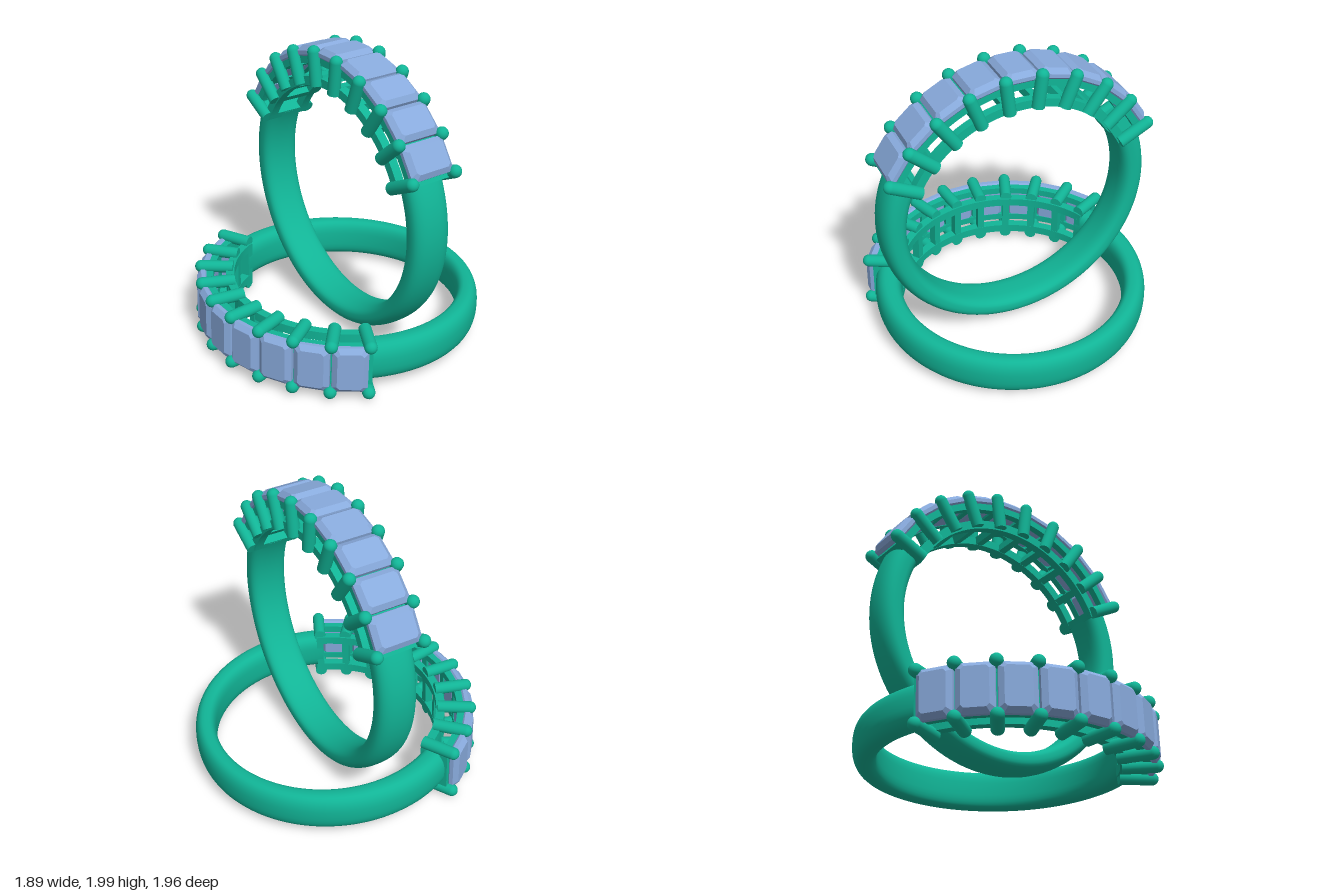
import * as THREE from 'three';

const INNER = 0.772;                        // finger hole radius
const PITCH = THREE.MathUtils.degToRad(14); // angle between neighbouring stones
const STONES = 9;
const END = PITCH * STONES / 2;             // angle from the top to the last prong
const metal = new THREE.MeshStandardMaterial({ color: 0x11b496 });
const metalThin = new THREE.MeshStandardMaterial({ color: 0x11b496, side: THREE.DoubleSide });
const gem = new THREE.MeshStandardMaterial({ color: 0x88aadc, flatShading: true });

function add(parent, name, geometry, material, x = 0, y = 0, z = 0) {
  const mesh = new THREE.Mesh(geometry, material);
  mesh.name = name;
  mesh.position.set(x, y, z);
  parent.add(mesh);
  return mesh;
}

// group turned so that its +y points outwards at an angle from the top
function spoke(parent, name, angle) {
  const g = new THREE.Group();
  g.name = name;
  g.rotation.z = -angle;
  parent.add(g);
  return g;
}

// band section as [z, radius]: well rounded outside, flatter inside, thinner at the bottom
function bandSection(angle, n = 32) {
  const t = 0.142 + 0.03 * (1 + Math.cos(angle));
  return Array.from({ length: n }, (_, j) => {
    const a = (j / n) * Math.PI * 2, c = Math.cos(a), s = Math.sin(a);
    const p = 2 / (c > 0 ? 2.4 : 2.9);
    const u = Math.sign(c) * Math.abs(c) ** p;
    const v = Math.sign(s) * Math.abs(s) ** p;
    return [0.136 * v, INNER + (t / 2) * (1 + u)];
  });
}

function bandGeometry(from, to, steps = 110, n = 32) {
  const pos = [], idx = [];
  for (let i = 0; i <= steps; i++) {
    const a = from + (to - from) * i / steps;
    for (const [z, r] of bandSection(a, n)) pos.push(r * Math.sin(a), r * Math.cos(a), z);
    if (i === steps) break;
    for (let j = 0; j < n; j++) {
      const p = i * n + j, q = i * n + (j + 1) % n;
      idx.push(p, q, p + n, q, q + n, p + n);
    }
  }
  const g = new THREE.BufferGeometry();
  g.setAttribute('position', new THREE.Float32BufferAttribute(pos, 3));
  g.setIndex(idx);
  g.computeVertexNormals();
  return g;
}

// step-cut stone: cut-corner rectangles stacked outwards [radius, half x, half z, corner]
function stoneGeometry() {
  const levels = [
    [0.918, 0.07, 0.11, 0.02], [0.972, 0.115, 0.16, 0.03],
    [0.998, 0.115, 0.16, 0.03], [1.028, 0.083, 0.128, 0.018],
  ];
  const pos = [], idx = [];
  for (const [y, x, z, c] of levels) {
    const ring = [[x, z - c], [x - c, z], [c - x, z], [-x, z - c],
      [-x, c - z], [c - x, -z], [x - c, -z], [x, c - z]];
    for (const [px, pz] of ring) pos.push(px, y, pz);
  }
  for (let k = 0; k < levels.length - 1; k++) {
    for (let j = 0; j < 8; j++) {
      const p = k * 8 + j, q = k * 8 + (j + 1) % 8;
      idx.push(p, p + 8, q, q, p + 8, q + 8);
    }
  }
  const top = (levels.length - 1) * 8;
  for (let j = 1; j < 7; j++) idx.push(0, j, j + 1, top, top + j + 1, top + j);
  const g = new THREE.BufferGeometry();
  g.setAttribute('position', new THREE.Float32BufferAttribute(pos, 3));
  g.setIndex(idx);
  g.computeVertexNormals();
  return g;
}

// curved rail of rectangular section over the stone-set arc
function railGeometry(r0, r1, width) {
  const mid = Math.PI / 2;
  const s = new THREE.Shape();
  s.absarc(0, 0, r1, mid - END, mid + END, false);
  s.absarc(0, 0, r0, mid + END, mid - END, true);
  s.closePath();
  const g = new THREE.ExtrudeGeometry(s, { depth: width, bevelEnabled: false, curveSegments: 48 });
  return g.translate(0, 0, -width / 2);
}

// prong: flat foot, straight shaft, domed tip
function prongGeometry() {
  const r = 0.042, foot = 0.782, tip = 1.003;
  const pts = [[0, foot], [r, foot], [r, foot], [r, tip]];
  for (let i = 1; i <= 8; i++) {
    const a = (i / 8) * Math.PI / 2;
    pts.push([r * Math.cos(a), tip + r * Math.sin(a)]);
  }
  return new THREE.LatheGeometry(pts.map(([x, y]) => new THREE.Vector2(Math.max(x, 0), y)), 20);
}

function createRing(name) {
  const ring = new THREE.Group();
  ring.name = name;

  // plain band with closed ends
  const from = END - 0.02, to = Math.PI * 2 - from;
  add(ring, 'band', bandGeometry(from, to), metal);
  for (const a of [from, to]) {
    const shape = new THREE.Shape(bandSection(a).map(([z, r]) => new THREE.Vector2(z, r)));
    const cap = add(spoke(ring, 'bandEnd', a), 'bandEndCap', new THREE.ShapeGeometry(shape), metalThin);
    cap.rotation.y = -Math.PI / 2;
  }

  // upper and lower rails on both sides
  const lower = railGeometry(INNER, 0.83, 0.06), upper = railGeometry(0.915, 0.975, 0.05);
  for (const side of [-1, 1]) {
    add(ring, 'lowerRail', lower, metal, 0, 0, side * 0.125);
    add(ring, 'upperRail', upper, metal, 0, 0, side * 0.125);
  }

  // prong pairs joined by cross bars
  const prong = prongGeometry();
  const bar = new THREE.BoxGeometry(0.05, 0.056, 0.3);
  for (let i = 0; i <= STONES; i++) {
    const g = spoke(ring, 'prongPair', -END + i * PITCH);
    for (const side of [-1, 1]) add(g, 'prong', prong, metal, 0, 0, side * 0.167);
    add(g, 'lowerCrossBar', bar, metal, 0, 0.802, 0);
    add(g, 'upperCrossBar', bar, metal, 0, 0.945, 0);
  }

  // row of stones
  const stone = stoneGeometry();
  for (let i = 0; i < STONES; i++) {
    add(spoke(ring, 'stoneSeat', -END + (i + 0.5) * PITCH), 'stone', stone, gem);
  }
  return ring;
}

export function createModel() {
  const model = new THREE.Group();
  model.name = 'ringPair';

  const upright = createRing('uprightRing');
  upright.position.set(0, 0.955, -0.079);

  // lying ring, stones to the front and slightly raised
  const lying = createRing('lyingRing');
  lying.position.set(0, 0.197, -0.073);
  lying.rotation.x = THREE.MathUtils.degToRad(88);

  model.add(upright, lying);
  return model;
}
